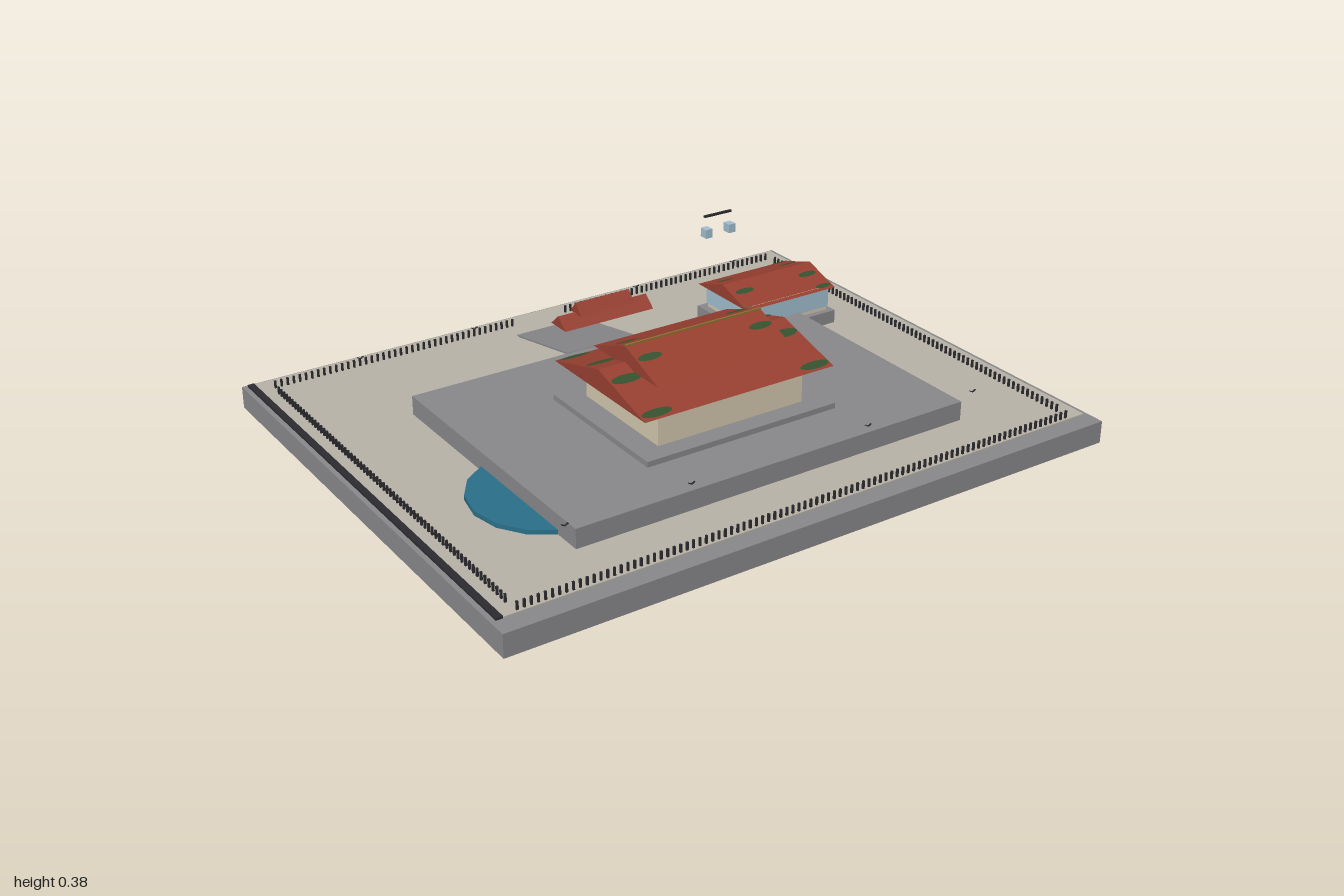
import * as THREE from 'three';

const mat = (name, color) => {
  const m = new THREE.MeshStandardMaterial({ color });
  m.name = name;
  return m;
};

export function createModel() {
  const stone = mat('stone', 0x88878a);
  const sand = mat('sand', 0xb8b2a7);
  const plaster = mat('plaster', 0xd2c7ad);
  const tile = mat('roof tile', 0x973f30);
  const moss = mat('moss', 0x35522f);
  const glass = mat('pale blue', 0xa0bed0);
  const water = mat('water', 0x2a6f88);
  const dark = mat('dark iron', 0x2c2b2f);
  const gold = mat('ridge gold', 0x8c7430);

  const root = new THREE.Group();
  root.name = 'walledCompound';

  const add = (parent, name, geo, material, x = 0, y = 0, z = 0) => {
    const m = new THREE.Mesh(geo, material);
    m.name = name;
    m.position.set(x, y, z);
    parent.add(m);
    return m;
  };
  // Box given by its limits on each axis
  const block = (parent, name, material, [x0, x1], [y0, y1], [z0, z1]) =>
    add(parent, name, new THREE.BoxGeometry(x1 - x0, y1 - y0, z1 - z0), material,
      (x0 + x1) / 2, (y0 + y1) / 2, (z0 + z1) / 2);
  // Solid gable roof with its ridge along x
  const gable = (parent, name, cx, cz, halfX, halfZ, y0, y1) => {
    const s = new THREE.Shape();
    s.moveTo(-halfZ, 0);
    s.lineTo(halfZ, 0);
    s.lineTo(0, y1 - y0);
    s.closePath();
    const g = new THREE.ExtrudeGeometry(s, { depth: halfX * 2, bevelEnabled: false });
    g.translate(0, 0, -halfX);
    g.rotateY(Math.PI / 2);
    return add(parent, name, g, tile, cx, y0, cz);
  };
  // Thin oval moss patches on both slopes of a gable roof
  const mossPatches = (parent, cx, cz, halfZ, y0, y1, spots) => {
    const slope = Math.atan2(y1 - y0, halfZ);
    for (const [x, d, rx, rz] of spots) {
      for (const side of [-1, 1]) {
        const g = new THREE.CircleGeometry(1, 14);
        g.scale(rx, rz, 1);
        g.rotateX(-Math.PI / 2 + side * slope);
        add(parent, 'mossPatch', g, moss,
          cx + x, y1 - (y1 - y0) * d / halfZ + 0.003, cz + side * d);
      }
    }
  };

  // Ground
  block(root, 'base', stone, [-1, 1], [0, 0.07], [-0.805, 0.805]);
  block(root, 'courtyard', sand, [-0.965, 0.985], [0.069, 0.074], [-0.795, 0.745]);
  block(root, 'edgeKerb', dark, [-0.985, -0.965], [0.069, 0.077], [-0.795, 0.745]);
  block(root, 'terrace', stone, [-0.655, 0.655], [0.07, 0.134], [-0.345, 0.574]);
  add(root, 'pond', new THREE.CylinderGeometry(0.23, 0.23, 0.014, 16), water, -0.56, 0.081, 0.277);

  // Ramp up to the terrace
  const run = 0.32, rise = 0.06;
  const ramp = add(root, 'ramp', new THREE.BoxGeometry(0.245, 0.005, Math.hypot(run, rise)), stone, -0.002, 0.103, -0.503);
  ramp.rotation.x = -Math.atan2(rise, run);

  // Main hall with two stacked roofs
  const hall = new THREE.Group();
  hall.name = 'mainHall';
  root.add(hall);
  block(hall, 'hallPlinth', stone, [-0.323, 0.323], [0.134, 0.151], [-0.095, 0.403]);
  block(hall, 'hallWalls', plaster, [-0.248, 0.248], [0.151, 0.27], [-0.033, 0.342]);
  gable(hall, 'hallLowerRoof', 0, 0.154, 0.322, 0.236, 0.264, 0.33);
  gable(hall, 'hallUpperRoof', 0, 0.154, 0.233, 0.167, 0.316, 0.378);
  block(hall, 'hallRidge', gold, [-0.233, 0.233], [0.374, 0.382], [0.151, 0.157]);
  mossPatches(hall, 0, 0.154, 0.236, 0.264, 0.33, [
    [-0.27, 0.215, 0.05, 0.016], [0.27, 0.215, 0.05, 0.016],
    [-0.27, 0.065, 0.05, 0.018], [0.27, 0.065, 0.05, 0.018],
  ]);
  mossPatches(hall, 0, 0.154, 0.167, 0.316, 0.378, [
    [-0.19, 0.06, 0.04, 0.014], [0.19, 0.06, 0.04, 0.014],
  ]);

  // Side house
  const house = new THREE.Group();
  house.name = 'sideHouse';
  root.add(house);
  block(house, 'housePlinth', stone, [0.437, 0.787], [0.07, 0.117], [-0.457, -0.18]);
  block(house, 'houseWalls', plaster, [0.462, 0.766], [0.117, 0.2], [-0.432, -0.2]);
  block(house, 'houseBlueBand', glass, [0.458, 0.77], [0.13, 0.198], [-0.436, -0.196]);
  gable(house, 'houseRoof', 0.613, -0.32, 0.175, 0.134, 0.195, 0.239);
  mossPatches(house, 0.613, -0.32, 0.134, 0.195, 0.239, [
    [-0.125, 0.052, 0.035, 0.012], [0.125, 0.052, 0.035, 0.012],
    [0.14, 0.118, 0.03, 0.01],
  ]);

  // Gate roofs above the ramp
  const gate = new THREE.Group();
  gate.name = 'gate';
  root.add(gate);
  gable(gate, 'gateLowerRoof', -0.002, -0.336, 0.158, 0.042, 0.234, 0.27);
  gable(gate, 'gateUpperRoof', -0.002, -0.336, 0.096, 0.031, 0.264, 0.3);

  // Perimeter fence with a gap behind the ramp
  const fence = new THREE.Group();
  fence.name = 'fence';
  root.add(fence);
  const postGeo = new THREE.BoxGeometry(0.006, 0.026, 0.006);
  const post = (x, z) => add(fence, 'fencePost', postGeo, dark, x, 0.085, z);
  for (let i = -46; i <= 46; i++) {
    const x = i * 0.02;
    post(x, 0.735);
    if (Math.abs(x) > 0.085) post(x, -0.735);
  }
  for (let i = -34; i <= 34; i++) for (const s of [-1, 1]) post(s * 0.928, i * 0.0203);

  // Hanging lanterns and their bar
  for (const x of [0.568, 0.661]) block(root, 'lantern', glass, [x - 0.013, x + 0.013], [0.284, 0.314], [-0.611, -0.58]);
  block(root, 'lanternBar', dark, [0.56, 0.667], [0.352, 0.359], [-0.602, -0.594]);

  // Small birds in two rows
  for (const z of [0.58, -0.615]) {
    for (const x of [-0.69, -0.3, 0.3, 0.69]) {
      const bird = new THREE.Group();
      bird.name = 'bird';
      bird.position.set(x, 0.158, z);
      for (const s of [-1, 1]) {
        const wing = add(bird, 'birdWing', new THREE.BoxGeometry(0.012, 0.002, 0.005), dark, s * 0.005, 0.003, 0);
        wing.rotation.z = s * 0.5;
      }
      root.add(bird);
    }
  }

  return root;
}
